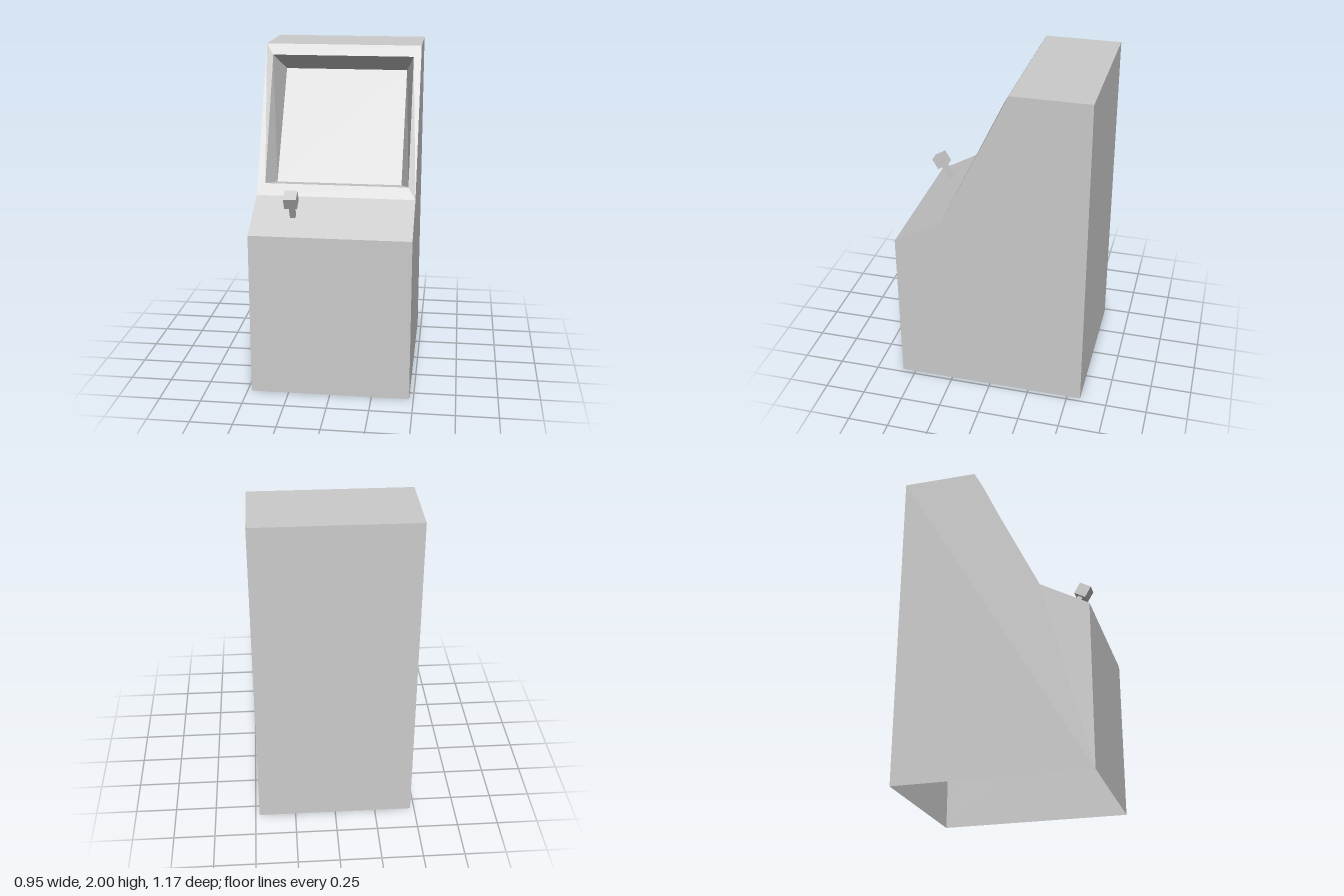
import * as THREE from 'three';

// The cabinet is a thin shell, open underneath
const material = new THREE.MeshStandardMaterial({ color: 0xcccccc, flatShading: true, side: THREE.DoubleSide });
const HALF = 0.475;

// Cabinet outline as [z, y]: up the front, over the top, down the back
const profile = [[0.583, 0], [0.583, 0.985], [0.293, 1.148], [-0.122, 2], [-0.583, 2], [-0.583, 0]];

function mesh(name, geometry) {
  const m = new THREE.Mesh(geometry, material);
  m.name = name;
  return m;
}

// Flat-faced surface from quads whose corners run counterclockwise
function quads(list) {
  const points = list.flatMap(([a, b, c, d]) => [a, b, c, a, c, d]);
  const geometry = new THREE.BufferGeometry();
  geometry.setAttribute('position', new THREE.Float32BufferAttribute(points.flat(), 3));
  geometry.computeVertexNormals();
  return geometry;
}

// Rectangle across the cabinet between two [z, y] points
const across = (w, [z0, y0], [z1, y1]) => [[-w, y0, z0], [w, y0, z0], [w, y1, z1], [-w, y1, z1]];

// Ring of four quads joining two rectangles
const ring = (a, b) => quads(a.map((p, i) => [p, a[(i + 1) % 4], b[(i + 1) % 4], b[i]]));

function sidePanel(name, side) {
  const shape = new THREE.Shape(profile.map(([z, y]) => new THREE.Vector2(-side * z, y)));
  const panel = mesh(name, new THREE.ShapeGeometry(shape));
  panel.rotation.y = side * Math.PI / 2;
  panel.position.x = side * HALF;
  return panel;
}

export function createModel() {
  const model = new THREE.Group();
  model.name = 'arcadeCabinet';

  // Cabinet walls; the sloped front is the screen frame
  ['frontPanel', 'controlPanel', null, 'topPanel', 'backPanel'].forEach((name, i) => {
    if (name) model.add(mesh(name, quads([across(HALF, profile[i], profile[i + 1])])));
  });
  model.add(sidePanel('leftSide', 1), sidePanel('rightSide', -1));

  // Recessed screen: frame, tapering walls, display leaning further back
  const outer = across(HALF, profile[2], profile[3]);
  const opening = across(0.43, [0.253, 1.212], [-0.085, 1.937]);
  const inner = across(0.381, [0.115, 1.187], [-0.288, 1.825]);
  model.add(
    mesh('screenFrame', ring(outer, opening)),
    mesh('screenRecess', ring(opening, inner)),
    mesh('screen', quads([inner])),
  );

  // Joystick standing square to the control panel
  const joystick = new THREE.Group();
  joystick.name = 'joystick';
  const stem = mesh('joystickStem', new THREE.BoxGeometry(0.032, 0.115, 0.032));
  stem.position.y = 0.0475;
  const knob = mesh('joystickKnob', new THREE.BoxGeometry(0.075, 0.075, 0.075));
  knob.position.y = 0.139;
  joystick.add(stem, knob);
  joystick.position.set(-0.232, 1.066, 0.435);
  joystick.rotation.x = Math.PI / 6;
  model.add(joystick);

  return model;
}
